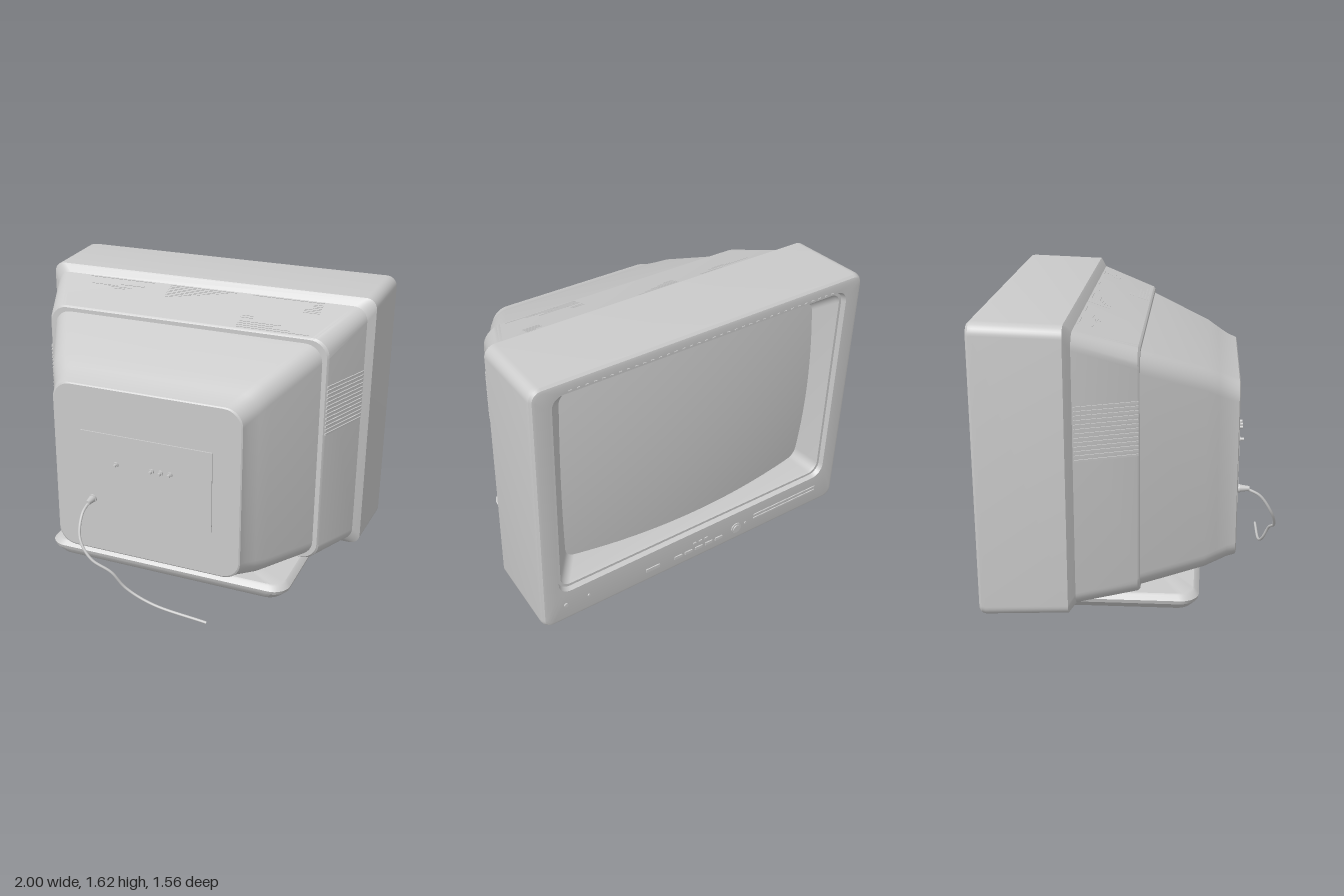
import * as THREE from 'three';
import { toCreasedNormals } from 'three/addons/utils/BufferGeometryUtils.js';

const plastic = new THREE.MeshStandardMaterial({ color: 0xcacaca });
plastic.name = 'light grey plastic';

// Counter-clockwise rounded rectangle at depth z
function ring([z, halfWidth, bottom, top, radius], seg = 8) {
  const pts = [];
  const corners = [[1, bottom, -1], [1, top, 1], [-1, top, 1], [-1, bottom, -1]];
  corners.forEach(([sx, y, sy], c) => {
    for (let i = 0; i <= seg; i++) {
      const a = (c - 1 + i / seg) * Math.PI / 2;
      pts.push([
        sx * (halfWidth - radius) + radius * Math.cos(a),
        y - sy * radius + radius * Math.sin(a), z]);
    }
  });
  return pts;
}

// Skin through rounded rectangles, with optional flat ends
function loft(sections, capStart = false, capEnd = false) {
  const rings = sections.map(s => ring(s));
  const n = rings[0].length, out = [];
  const tri = (a, b, c) => out.push(...a, ...b, ...c);
  for (let k = 0; k < rings.length - 1; k++) {
    const a = rings[k], b = rings[k + 1];
    for (let i = 0; i < n; i++) {
      const j = (i + 1) % n;
      tri(a[i], a[j], b[j]);
      tri(a[i], b[j], b[i]);
    }
  }
  const cap = (r, s, flip) => {
    const mid = [0, (s[2] + s[3]) / 2, s[0]];
    for (let i = 0; i < n; i++) {
      const j = (i + 1) % n;
      flip ? tri(mid, r[j], r[i]) : tri(mid, r[i], r[j]);
    }
  };
  if (capStart) cap(rings[0], sections[0], true);
  if (capEnd) cap(rings[rings.length - 1], sections[sections.length - 1], false);
  const g = new THREE.BufferGeometry();
  g.setAttribute('position', new THREE.Float32BufferAttribute(out, 3));
  return toCreasedNormals(g, 0.45);
}

export function createModel() {
  const model = new THREE.Group();
  model.name = 'television';

  const add = (name, geometry, x = 0, y = 0, z = 0, parent = model) => {
    const m = new THREE.Mesh(geometry, plastic);
    m.name = name;
    m.position.set(x, y, z);
    parent.add(m);
    return m;
  };
  const box = (name, w, h, d, x, y, z, parent) =>
    add(name, new THREE.BoxGeometry(w, h, d), x, y, z, parent);
  const rod = (name, r1, r2, len, x, y, z, parent) =>
    add(name, new THREE.CylinderGeometry(r1, r2, len, 20).rotateX(Math.PI / 2), x, y, z, parent);
  const group = name => {
    const g = new THREE.Group();
    g.name = name;
    model.add(g);
    return g;
  };

  // Screen surround: sloped recess, lip and outer frame
  add('screenSurround', loft([
    [-0.58, 0.72, 0.45, 1.40, 0.05],
    [-0.73, 0.865, 0.315, 1.515, 0.06],
    [-0.745, 0.872, 0.308, 1.522, 0.06],
    [-0.745, 0.887, 0.293, 1.537, 0.07],
    [-0.77, 0.897, 0.283, 1.547, 0.075],
    [-0.772, 0.97, 0.105, 1.59, 0.04],
    [-0.768, 0.985, 0.09, 1.605, 0.05],
    [-0.755, 0.996, 0.079, 1.616, 0.06],
    [-0.735, 1.0, 0.076, 1.619, 0.06],
    [-0.31, 0.99, 0.091, 1.605, 0.06],
  ]));

  // Bulging picture tube, its edge buried in the sloped recess
  const glass = new THREE.PlaneGeometry(1.72, 1.24, 32, 24).rotateY(Math.PI);
  const p = glass.attributes.position;
  for (let i = 0; i < p.count; i++) {
    const x = p.getX(i), y = p.getY(i);
    p.setZ(i, 0.085 * (x * x + y * y));
  }
  glass.computeVertexNormals();
  add('screen', glass, 0, 0.92, -0.715);

  // Shoulder behind the frame, then the tapering tube cover
  add('shoulder', loft([
    [-0.31, 0.99, 0.091, 1.605, 0.06],
    [-0.30, 0.98, 0.10, 1.595, 0.07],
    [-0.275, 0.95, 0.122, 1.562, 0.08],
    [0.035, 0.835, 0.133, 1.462, 0.10],
    [0.045, 0.825, 0.14, 1.452, 0.10],
    [0.045, 0.80, 0.152, 1.43, 0.10],
  ]));
  add('backCover', loft([
    [0.045, 0.80, 0.152, 1.43, 0.10],
    [0.38, 0.635, 0.187, 1.30, 0.10],
    [0.44, 0.597, 0.2, 1.265, 0.10],
    [0.50, 0.562, 0.215, 1.233, 0.10],
    [0.545, 0.547, 0.223, 1.217, 0.10],
    [0.55, 0.54, 0.23, 1.21, 0.10],
  ], false, true));

  // Side vents following the shoulder's taper
  const sideVents = group('sideVents');
  for (const s of [-1, 1]) {
    for (let i = 0; i < 13; i++) {
      const slat = box('ventSlat', 0.012, 0.011, 0.33, s * 0.891, 0.925 + i * 0.0228, -0.115, sideVents);
      slat.rotation.y = -s * 0.355;
    }
  }

  // Top vents: [left, right, z]
  const topVents = group('topVents');
  const rows = [
    [-0.72, -0.31, -0.265], [-0.50, -0.35, -0.215], [-0.68, -0.52, -0.20],
    [-0.57, -0.42, -0.19], [-0.53, -0.46, -0.175],
    [0.30, 0.71, -0.265], [0.30, 0.37, -0.08], [0.30, 0.37, -0.062],
    [0.30, 0.54, -0.03], [0.30, 0.50, -0.013], [0.30, 0.60, 0.004], [0.30, 0.71, 0.02],
  ];
  for (let i = 0; i < 8; i++) rows.push([-0.2, 0.2 - i * 0.05, -0.265 + i * 0.015]);
  for (let i = 0; i < 6; i++) rows.push([i < 3 ? 0.66 : 0.62, 0.71, -0.245 + i * 0.015]);
  for (const [a, b, z] of rows) {
    const slat = box('ventSlat', b - a, 0.006, 0.007, (a + b) / 2, 1.473 - 0.323 * z, z, topVents);
    slat.rotation.x = 0.31;
  }

  // Connection panel with sockets
  const panel = group('connectionPanel');
  box('panelPlate', 0.77, 0.465, 0.009, 0, 0.722, 0.553, panel);
  for (const x of [-0.17, 0.04, 0.093, 0.147]) {
    rod('socketCollar', 0.015, 0.015, 0.012, x, 0.785, 0.562, panel);
    rod('socket', 0.009, 0.009, 0.035, x, 0.785, 0.572, panel);
  }

  // Mains cable
  rod('cableFlange', 0.024, 0.024, 0.015, -0.32, 0.55, 0.562);
  rod('cableGland', 0.013, 0.021, 0.055, -0.32, 0.55, 0.594);
  const path = [
    [-0.32, 0.55, 0.60], [-0.324, 0.51, 0.68], [-0.305, 0.40, 0.75], [-0.23, 0.30, 0.772],
    [-0.12, 0.23, 0.75], [-0.05, 0.13, 0.72], [0.10, 0.055, 0.705], [0.42, 0.016, 0.70],
  ].map(v => new THREE.Vector3(...v));
  add('cable', new THREE.TubeGeometry(new THREE.CatmullRomCurve3(path), 64, 0.008, 10));

  // Controls below the screen
  const controls = group('controls');
  const face = -0.773;
  rod('knobRing', 0.034, 0.034, 0.008, -0.265, 0.172, face, controls);
  rod('knob', 0.024, 0.024, 0.02, -0.265, 0.172, face, controls);
  rod('indicator', 0.012, 0.012, 0.01, 0.86, 0.195, face, controls);
  rod('sensor', 0.008, 0.008, 0.008, 0.72, 0.19, face, controls);
  rod('smallButton', 0.008, 0.008, 0.008, -0.33, 0.18, face, controls);
  box('powerButton', 0.09, 0.022, 0.01, 0.31, 0.165, face, controls);
  for (let i = 0; i < 5; i++)
    box('button', 0.05, 0.018, 0.01, 0.14 - i * 0.07, 0.16, face, controls);
  for (let i = 0; i < 3; i++)
    box('smallButton', 0.02, 0.01, 0.008, 0.03 - i * 0.04, 0.205, face, controls);
  for (const y of [0.185, 0.21]) box('slot', 0.46, 0.009, 0.008, -0.62, y, face, controls);

  // Row of small studs along the upper lip
  for (let i = 0; i < 36; i++)
    box('lipStud', 0.016, 0.006, 0.006, -0.79 + i * 0.0451, 1.556, face + 0.001, controls);

  // Swivel base: chamfered slab and hidden pivot
  const slab = loft([
    [0, 0.695, -0.315, 0.535, 0.08],
    [0.045, 0.74, -0.35, 0.572, 0.1],
    [0.066, 0.745, -0.355, 0.577, 0.1],
    [0.09, 0.725, -0.335, 0.557, 0.09],
    [0.096, 0.715, -0.325, 0.547, 0.09],
  ], true, true).rotateX(-Math.PI / 2);
  add('base', slab);
  add('swivel', new THREE.CylinderGeometry(0.25, 0.25, 0.06, 40), 0, 0.115, -0.11);

  return model;
}
